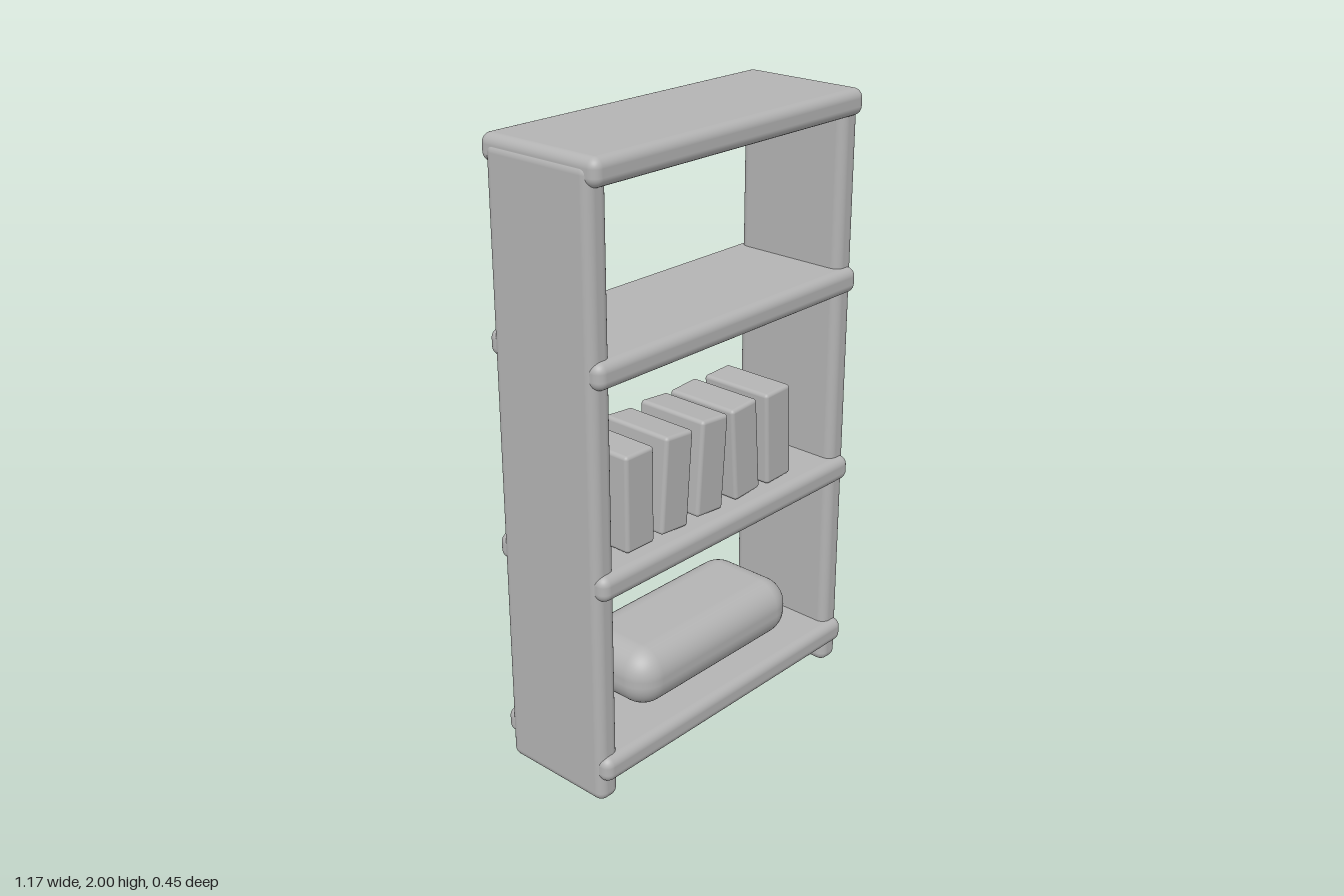
import * as THREE from 'three';
import { RoundedBoxGeometry } from 'three/addons/geometries/RoundedBoxGeometry.js';

export function createModel() {
  const group = new THREE.Group();
  group.name = 'bookcase';
  const grey = new THREE.MeshStandardMaterial({ color: 0xb3b3b3 });
  grey.name = 'plain grey';

  const roundedBox = (name, size, radius, position, tilt = 0) => {
    const mesh = new THREE.Mesh(new RoundedBoxGeometry(...size, 5, radius), grey);
    mesh.name = name;
    mesh.position.set(...position);
    mesh.rotation.z = tilt;
    group.add(mesh);
  };

  // Upright side panels
  for (const side of [-1, 1]) {
    roundedBox(side > 0 ? 'leftPanel' : 'rightPanel',
      [0.08, 1.98, 0.4], 0.03, [side * 0.543, 0.99, 0]);
  }

  // Shelves, protruding at front and back
  [0.118, 0.738, 1.393, 1.958].forEach((y, i) =>
    roundedBox(`shelf${i + 1}`, [1.156, 0.084, 0.45], 0.03, [0, y, 0]));

  // Leaning books: centre x and tilt
  [[-0.365, 0], [-0.206, -0.08], [-0.047, -0.08], [0.11, 0.07], [0.268, 0.04]]
    .forEach(([x, tilt], i) =>
      roundedBox(`book${i + 1}`, [0.117, 0.312, 0.26], 0.012, [x, 0.94, 0.04], tilt));

  // Soft bolster above the bottom shelf
  roundedBox('bolster', [0.735, 0.2, 0.35], 0.09, [0, 0.285, 0]);

  return group;
}
